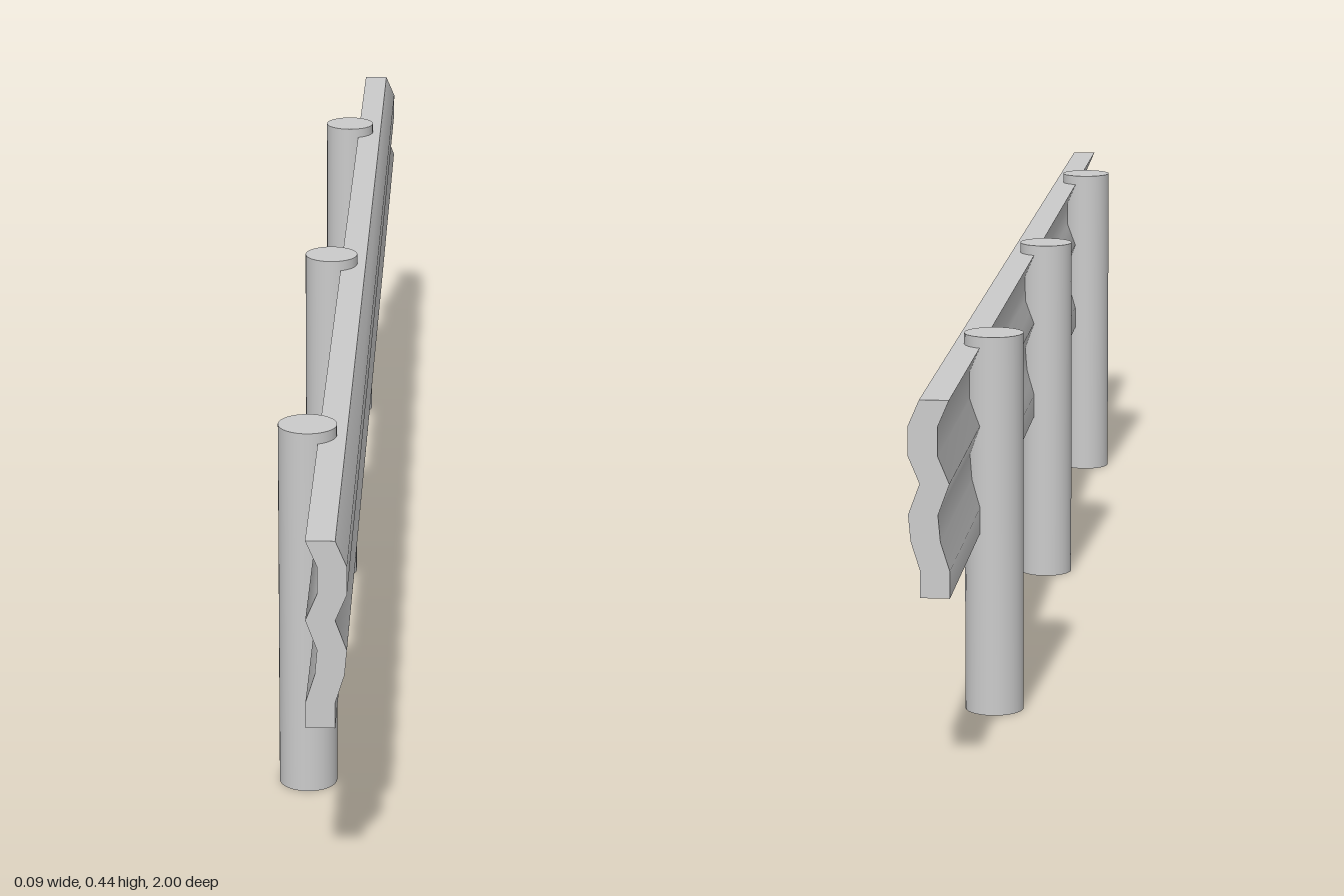
import * as THREE from 'three';
import { toCreasedNormals } from 'three/addons/utils/BufferGeometryUtils.js';

export function createModel() {
  const model = new THREE.Group();
  model.name = 'guardRail';
  const material = new THREE.MeshStandardMaterial({ color: 0xcccccc });

  // Corrugated rail: a wavy section of constant thickness, extruded along z
  const thickness = 0.032;
  const wave = [
    [0.001, 0.216], [0.001, 0.246], [0.011, 0.278], [0.0135, 0.307],
    [0.001, 0.341], [0.0135, 0.371], [0.0135, 0.403], [0.001, 0.432],
  ];
  const outline = [
    ...wave.map(([x, y]) => new THREE.Vector2(x + thickness, y)),
    ...wave.slice().reverse().map(([x, y]) => new THREE.Vector2(x, y)),
  ];
  const railGeometry = new THREE.ExtrudeGeometry(new THREE.Shape(outline), {
    depth: 2, bevelEnabled: false,
  });
  railGeometry.translate(0, 0, -1);
  const rail = new THREE.Mesh(toCreasedNormals(railGeometry, 0.9), material);
  rail.name = 'rail';
  model.add(rail);

  // Three round posts, partly sunk into the back of the rail
  const postHeight = 0.445;
  const postGeometry = new THREE.CylinderGeometry(0.034, 0.034, postHeight, 32);
  [['frontPost', 0.667], ['middlePost', 0], ['backPost', -0.667]].forEach(([name, z]) => {
    const post = new THREE.Mesh(postGeometry, material);
    post.name = name;
    post.position.set(-0.012, postHeight / 2, z);
    model.add(post);
  });

  return model;
}
